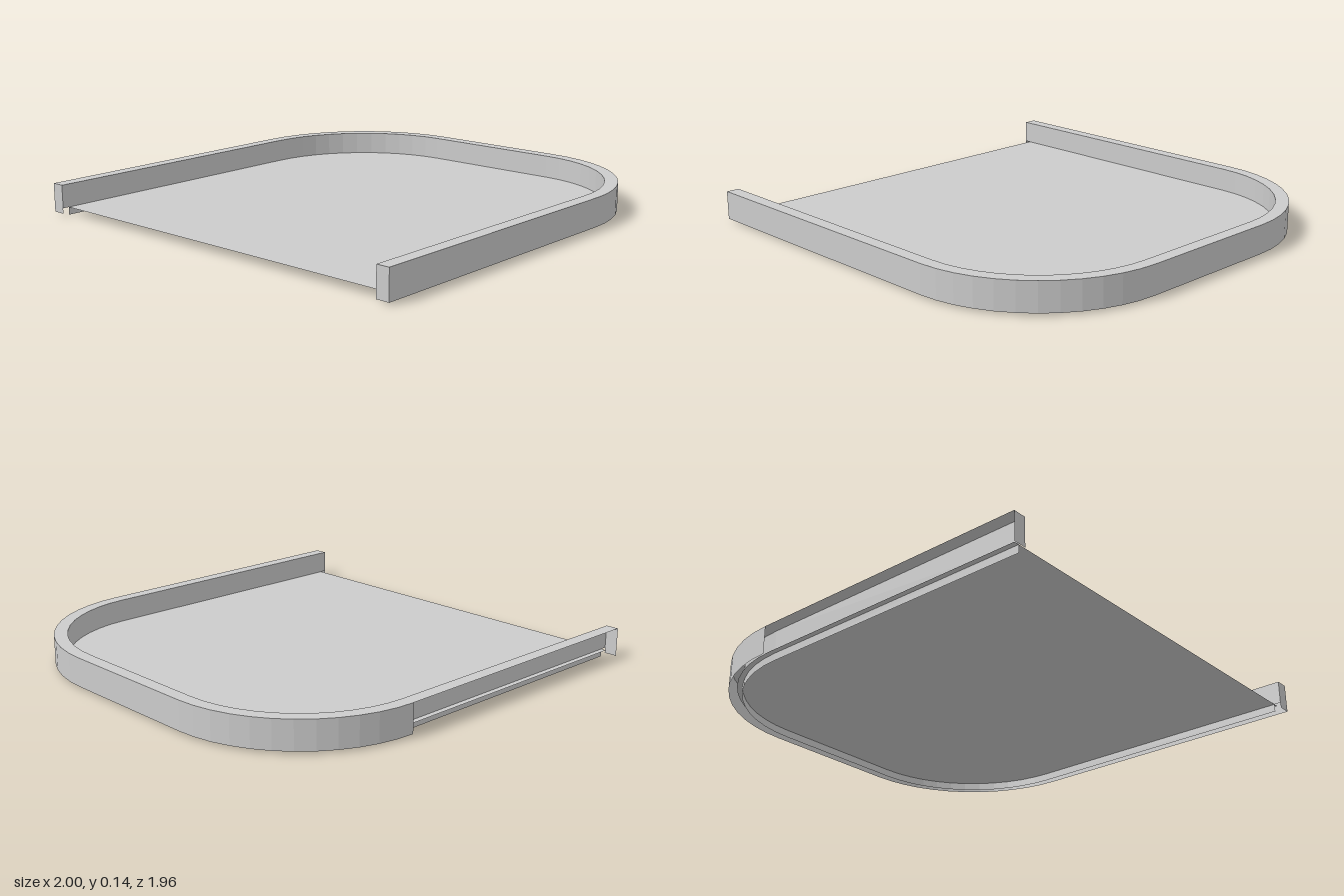
import * as THREE from 'three';

const material = new THREE.MeshStandardMaterial({ color: 0xcccccc, flatShading: true, side: THREE.DoubleSide });

const START = -1, CORNER_X = 0.36, CORNER_Z = 0.34, RADIUS = 0.64, STEPS = 12;
const TOP = 0.14, BOTTOM = 0.01, FLOOR = 0.035, WIDTH = 0.06;

// Plan outline [x, z] inset from the outer edge: front side, two round corners, back side
function outline(inset, startX = START) {
  const r = RADIUS - inset;
  const points = [[startX, CORNER_Z + r]];
  for (const side of [1, -1]) {
    for (let i = 0; i <= STEPS; i++) {
      const t = (side > 0 ? i : STEPS - i) / STEPS * Math.PI / 2;
      points.push([CORNER_X + r * Math.sin(t), side * (CORNER_Z + r * Math.cos(t))]);
    }
  }
  points.push([startX, -CORNER_Z - r]);
  return points;
}

// Strip running along the outline between two [inset, height] edges
function band(name, [insetA, yA], [insetB, yB], startX = START, skipLast = 0) {
  const a = outline(insetA, startX), b = outline(insetB, startX);
  const positions = [], index = [];
  const count = a.length - skipLast;
  for (let i = 0; i < count; i++) {
    positions.push(a[i][0], yA, a[i][1], b[i][0], yB, b[i][1]);
    if (i < count - 1) {
      const k = i * 2;
      index.push(k, k + 1, k + 2, k + 1, k + 3, k + 2);
    }
  }
  const geometry = new THREE.BufferGeometry();
  geometry.setAttribute('position', new THREE.Float32BufferAttribute(positions, 3));
  geometry.setIndex(index);
  geometry.computeVertexNormals();
  const mesh = new THREE.Mesh(geometry, material);
  mesh.name = name;
  return mesh;
}

export function createModel() {
  const model = new THREE.Group();
  model.name = 'tray';

  // Hollow rim, open underneath and along the straight back side
  model.add(
    band('outerWall', [0, TOP], [0, BOTTOM], START, 1),
    band('rimTop', [WIDTH, TOP], [0, TOP]),
    band('innerWall', [WIDTH, FLOOR], [WIDTH, TOP]),
  );

  // Small ledge inside the rim and the skirt below the floor edge
  model.add(
    band('ledge', [WIDTH, FLOOR], [WIDTH - 0.025, FLOOR], -0.97),
    band('skirt', [WIDTH, FLOOR], [WIDTH, 0], -0.97),
  );

  // Thin floor
  const shape = new THREE.Shape(outline(WIDTH, -0.97).map(([x, z]) => new THREE.Vector2(x, -z)));
  const floor = new THREE.Mesh(new THREE.ShapeGeometry(shape), material);
  floor.name = 'floor';
  floor.rotation.x = -Math.PI / 2;
  floor.position.y = FLOOR;
  model.add(floor);

  // End caps of the two rim arms
  for (const side of [1, -1]) {
    const cap = new THREE.Mesh(new THREE.PlaneGeometry(WIDTH, TOP - BOTTOM), material);
    cap.name = side > 0 ? 'frontEndCap' : 'backEndCap';
    cap.rotation.y = -Math.PI / 2;
    cap.position.set(START, (TOP + BOTTOM) / 2, side * (CORNER_Z + RADIUS - WIDTH / 2));
    model.add(cap);
  }
  return model;
}
